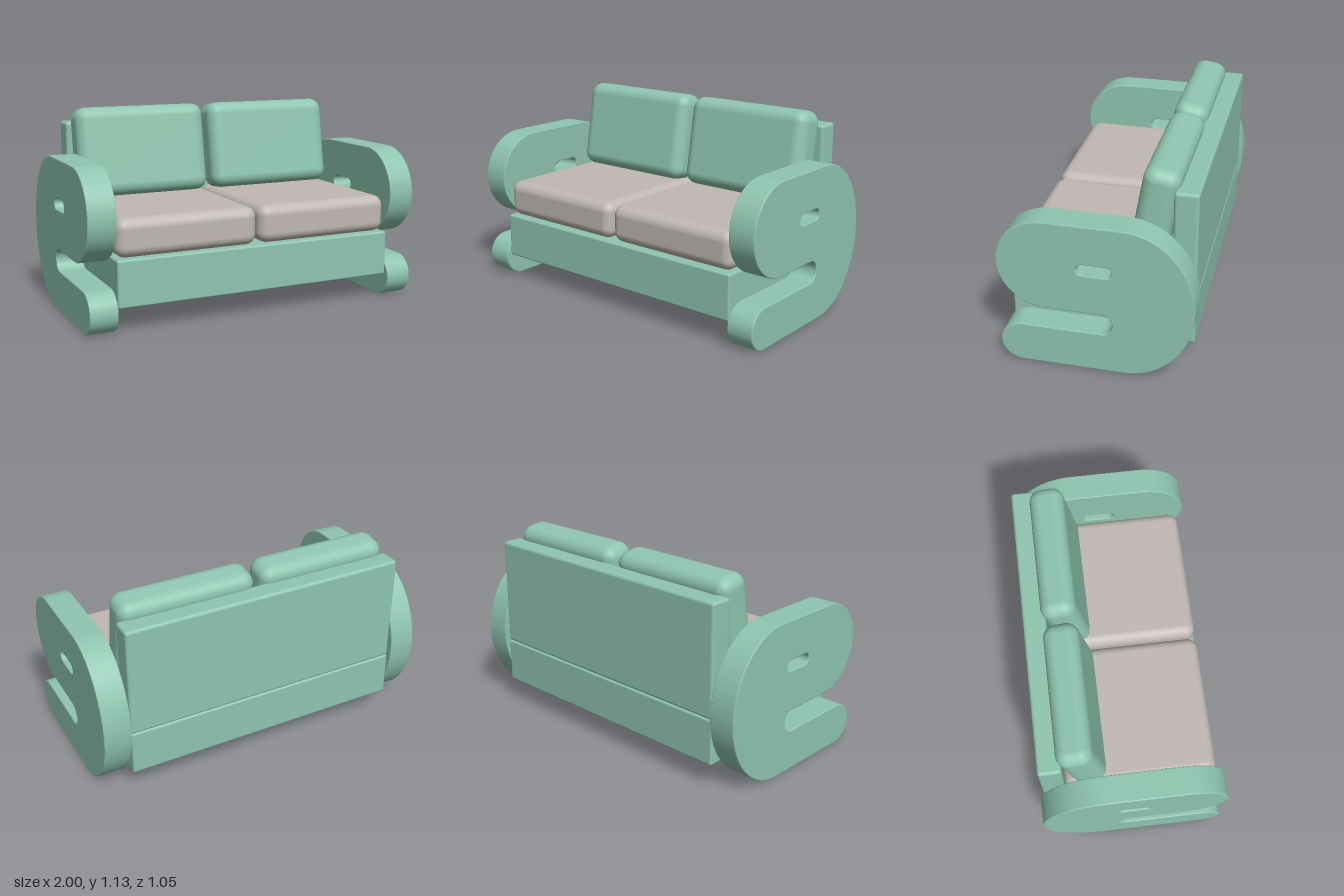
import * as THREE from 'three';
import { RoundedBoxGeometry } from 'three/addons/geometries/RoundedBoxGeometry.js';

const green = new THREE.MeshStandardMaterial({ color: 0x8fc5b0 });
green.name = 'sage green fabric';
const grey = new THREE.MeshStandardMaterial({ color: 0xc0b8b4 });
grey.name = 'warm grey fabric';

function roundedBox(name, size, radius, position, material) {
  const mesh = new THREE.Mesh(new RoundedBoxGeometry(...size, 5, radius), material);
  mesh.name = name;
  mesh.position.set(...position);
  return mesh;
}

// Side panel outline drawn in (z, y), inset by the bevel that grows it back
function sidePanelGeometry(bevel) {
  const b = bevel, q = Math.PI / 2;
  const s = new THREE.Shape();
  s.moveTo(0.409, b);
  s.absarc(0.409, 0.118, 0.118 - b, -q, -3 * q, false); // placeholder start of the foot
  s.curves.length = 0;
  s.moveTo(-0.15, 0.88 - b);
  s.lineTo(0.267, 0.88 - b);
  s.absarc(0.267, 0.62, 0.26 - b, q, -q, true);         // arm lobe
  s.lineTo(-0.03, 0.36 + b);
  s.absarc(-0.03, 0.298, 0.062 + b, q, 3 * q, false);   // slot end
  s.lineTo(0.409, 0.236 - b);
  s.absarc(0.409, 0.118, 0.118 - b, q, -q, true);       // foot
  s.lineTo(-0.15, b);
  s.absellipse(-0.15, 0.44, 0.377 - b, 0.44 - b, -q, -3 * q, true); // back curve

  // Handle hole
  const hole = new THREE.Path();
  hole.absarc(0.065, 0.623, 0.032 + b, -q, q, false);
  hole.absarc(-0.063, 0.623, 0.032 + b, q, 3 * q, false);
  hole.closePath();
  s.holes.push(hole);

  const width = 0.157;
  const g = new THREE.ExtrudeGeometry(s, {
    depth: width - 2 * b, bevelEnabled: true, bevelThickness: b, bevelSize: b,
    bevelSegments: 2, curveSegments: 24,
  });
  g.translate(0, 0, -(width - 2 * b) / 2);
  g.rotateY(-Math.PI / 2);
  return g;
}

export function createModel() {
  const sofa = new THREE.Group();
  sofa.name = 'sofa';

  // Frame
  sofa.add(roundedBox('base', [1.676, 0.262, 1.01], 0.012, [0, 0.271, 0], green));
  sofa.add(roundedBox('backrest', [1.676, 0.638, 0.13], 0.018, [0, 0.72, -0.44], green));

  const panel = sidePanelGeometry(0.006);
  for (const side of [-1, 1]) {
    const label = side > 0 ? 'left' : 'right';

    const arm = new THREE.Mesh(panel, green);
    arm.name = label + 'SidePanel';
    arm.position.x = side * 0.9215;
    sofa.add(arm);

    // Cushions
    sofa.add(roundedBox(label + 'SeatCushion', [0.826, 0.215, 0.87], 0.06,
      [side * 0.42, 0.508, 0.058], grey));
    const back = roundedBox(label + 'BackCushion', [0.8, 0.525, 0.2], 0.07,
      [side * 0.419, 0.868, -0.268], green);
    back.rotation.x = -THREE.MathUtils.degToRad(10);
    sofa.add(back);
  }
  return sofa;
}
